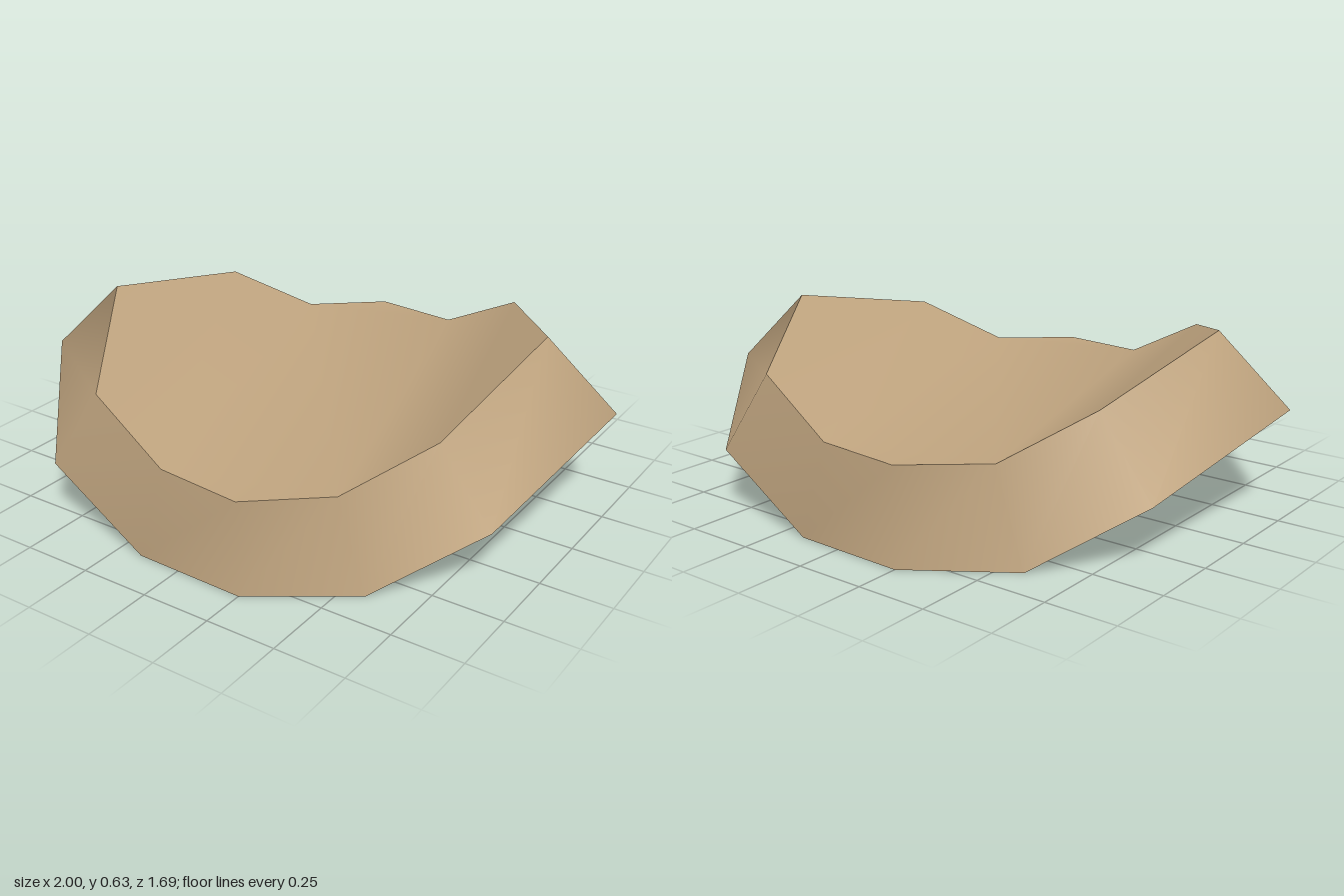
import * as THREE from 'three';

// Half rims of the curved slab; the other half is the same turned 180 degrees about y.
const lowerHalf = [[1, 0.38, -0.29], [0.89, 0.215, 0.39], [0.58, 0, 0.62],
  [0.25, 0, 0.843], [-0.16, 0, 0.832], [-0.55, 0.215, 0.805]];
const upperHalf = [[0.76, 0.63, -0.22], [0.72, 0.5, 0.435], [0.49, 0.34, 0.645],
  [0.25, 0.34, 0.843], [-0.07, 0.34, 0.81], [-0.38, 0.5, 0.757]];

const fullRim = (half) => [...half, ...half.map(([x, y, z]) => [-x, y, -z])];

// Strips between the slanted bend lines, wound to face down.
const strips = [[0, 1, 11], [1, 2, 10], [1, 10, 11], [2, 3, 4], [2, 4, 8],
  [2, 8, 10], [8, 9, 10], [4, 5, 7], [4, 7, 8], [5, 6, 7]];

function surface(name, points, faces, material) {
  const geometry = new THREE.BufferGeometry();
  geometry.setAttribute('position', new THREE.Float32BufferAttribute(points.flat(), 3));
  geometry.setIndex(faces.flat());
  geometry.computeVertexNormals();
  const mesh = new THREE.Mesh(geometry, material);
  mesh.name = name;
  return mesh;
}

export function createModel() {
  const group = new THREE.Group();
  group.name = 'curvedSlab';
  const tan = new THREE.MeshStandardMaterial({ color: 0xc4a882 });
  tan.name = 'tan';

  const lower = fullRim(lowerHalf);
  const upper = fullRim(upperHalf);
  const n = lower.length;

  // Wall joining the two rims
  const wall = [];
  for (let i = 0; i < n; i++) {
    const j = (i + 1) % n;
    wall.push([j, i, i + n], [j, i + n, j + n]);
  }

  group.add(
    surface('underside', lower, strips, tan),
    surface('topSurface', upper, strips.map(([a, b, c]) => [a, c, b]), tan),
    surface('rimWall', [...lower, ...upper], wall, tan),
  );
  return group;
}
